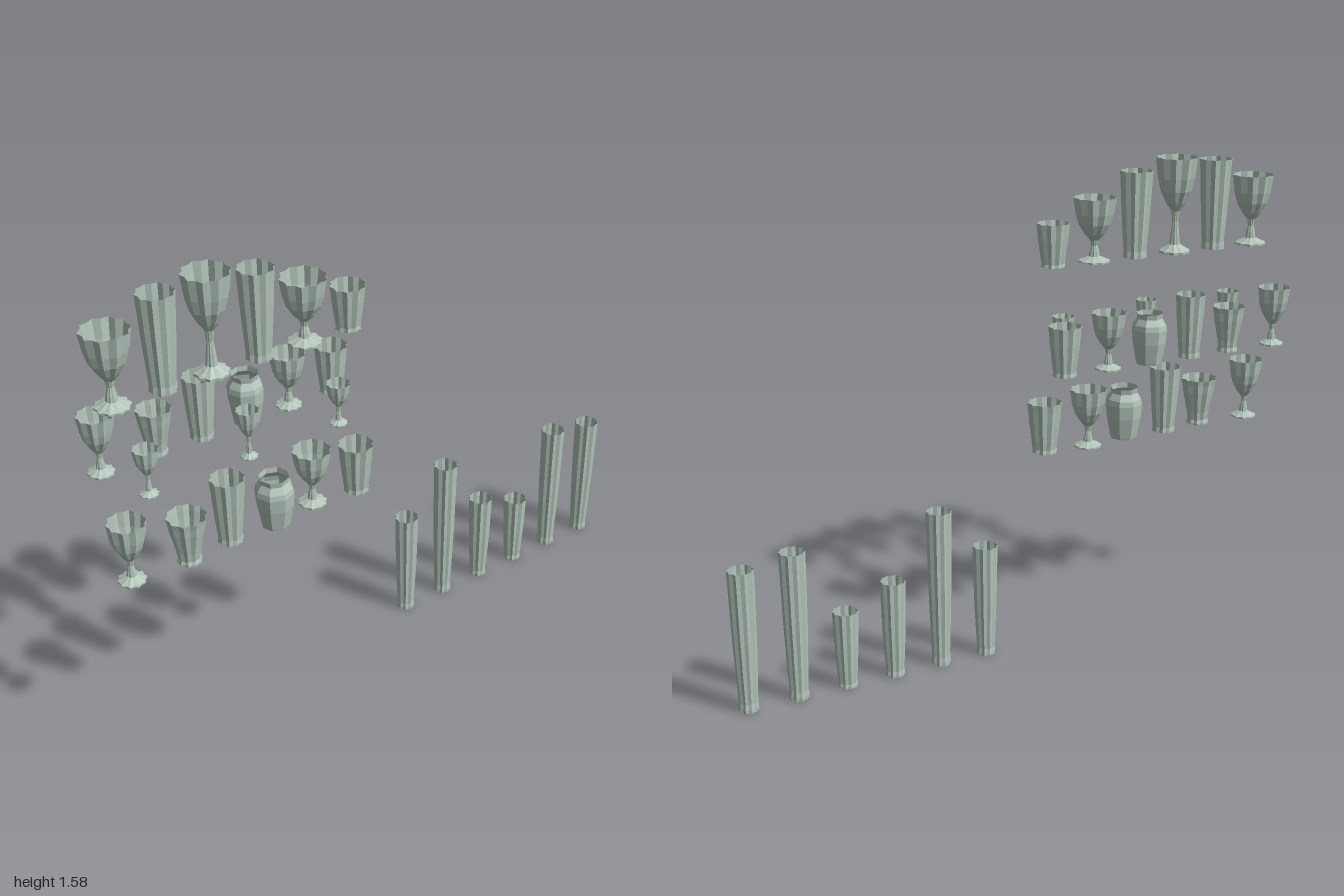
import * as THREE from 'three';

const glass = new THREE.MeshStandardMaterial({ color: 0xb3c4ba, side: THREE.DoubleSide, flatShading: true });
glass.name = 'greyGreenGlass';

// Turned vessel; flute < 1 pulls every second rib inward to make grooves
function turned(points, ribs, flute) {
  const segments = flute < 1 ? ribs * 2 : ribs;
  const geo = new THREE.LatheGeometry(points.map(([r, y]) => new THREE.Vector2(r, y)), segments);
  const pos = geo.attributes.position;
  for (let i = 0; i < pos.count; i++) {
    if (flute < 1 && Math.floor(i / points.length) % 2) {
      pos.setX(i, pos.getX(i) * flute);
      pos.setZ(i, pos.getZ(i) * flute);
    }
  }
  geo.computeVertexNormals();
  return geo;
}

// Open profiles as [share of radius, share of height]
const profiles = {
  tumbler: [[0.73, 0], [0.72, 0.03], [0.69, 0.08], [0.76, 0.25], [0.9, 0.65], [0.95, 0.85], [1, 1]],
  flaredVase: [[0.62, 0], [0.62, 0.03], [0.56, 0.1], [0.62, 0.27], [0.87, 0.72], [0.93, 0.88], [1, 1]],
  jar: [[0.72, 0], [0.75, 0.04], [0.78, 0.1], [0.95, 0.42], [1, 0.68], [0.94, 0.78], [0.72, 0.9], [0.76, 1]],
  tallVase: [[0.76, 0], [0.76, 0.025], [0.71, 0.06], [0.78, 0.2], [0.9, 0.5], [0.96, 0.8], [1, 1]],
};

// Footed glass: scalloped foot, waisted stem, open bowl starting at share b of the height
function gobletPoints(r, h, b) {
  const y = t => h * (b + (1 - b) * t);
  const foot = r * 0.74;
  return [
    [0, 0], [foot, 0], [foot, h * 0.025], [foot * 0.72, h * 0.05], [r * 0.26, h * 0.09],
    [r * 0.22, h * 0.16], [r * 0.14, h * b * 0.75], [r * 0.2, y(0)],
    [r * 0.46, y(0.15)], [r * 0.74, y(0.38)], [r * 0.88, y(0.62)], [r, y(1)],
  ];
}

// Rows of vessels: [kind, x, z, radius, top y, bowl start]
const rows = [
  { name: 'upperRow', base: 1.262, items: [
    ['goblet', -0.93, 0.08, 0.072, 1.5, 0.36],
    ['tumbler', -0.775, 0.08, 0.056, 1.564],
    ['goblet', -0.62, 0.08, 0.072, 1.58, 0.44],
    ['tumbler', -0.465, 0.08, 0.056, 1.547],
    ['goblet', -0.31, 0.08, 0.072, 1.473, 0.34],
    ['tumbler', -0.157, 0.08, 0.055, 1.403],
  ] },
  { name: 'middleRow', base: 0.948, items: [
    ['goblet', -0.915, -0.087, 0.056, 1.146, 0.36],
    ['flaredVase', -0.733, -0.087, 0.056, 1.102],
    ['tumbler', -0.58, -0.087, 0.051, 1.16],
    ['jar', -0.423, -0.087, 0.058, 1.116],
    ['goblet', -0.27, -0.087, 0.058, 1.135, 0.36],
    ['tumbler', -0.11, -0.087, 0.054, 1.11],
    ['goblet', -0.853, 0.09, 0.039, 1.102, 0.44],
    ['goblet', -0.521, 0.09, 0.036, 1.11, 0.44],
    ['goblet', -0.203, 0.09, 0.038, 1.09, 0.44],
  ] },
  { name: 'lowerRow', base: 0.647, items: [
    ['goblet', -0.92, 0.057, 0.06, 0.857, 0.36],
    ['flaredVase', -0.735, 0.072, 0.063, 0.811],
    ['tumbler', -0.583, 0.055, 0.055, 0.876],
    ['jar', -0.425, 0.062, 0.063, 0.825],
    ['goblet', -0.27, 0.035, 0.063, 0.846, 0.36],
    ['tumbler', -0.115, 0.053, 0.058, 0.819],
  ] },
  { name: 'tallVaseRow', base: 0, items: [0.386, 0.538, 0.331, 0.262, 0.498, 0.471].map(
    (top, i) => ['tallVase', 0.141 + i * 0.1635, -0.015, 0.0415, top]) },
];

export function createModel() {
  const model = new THREE.Group();
  model.name = 'glassware';
  for (const { name, base, items } of rows) {
    const row = new THREE.Group();
    row.name = name;
    items.forEach(([kind, x, z, r, top, bowl], i) => {
      const h = top - base;
      const points = kind === 'goblet'
        ? gobletPoints(r, h, bowl)
        : profiles[kind].map(([a, b]) => [a * r, b * h]);
      const geo = kind === 'jar' ? turned(points, 8, 1) : turned(points, 10, 0.88);
      const mesh = new THREE.Mesh(geo, glass);
      mesh.name = kind + (i + 1);
      mesh.position.set(x, base, z);
      row.add(mesh);
    });
    model.add(row);
  }
  return model;
}
